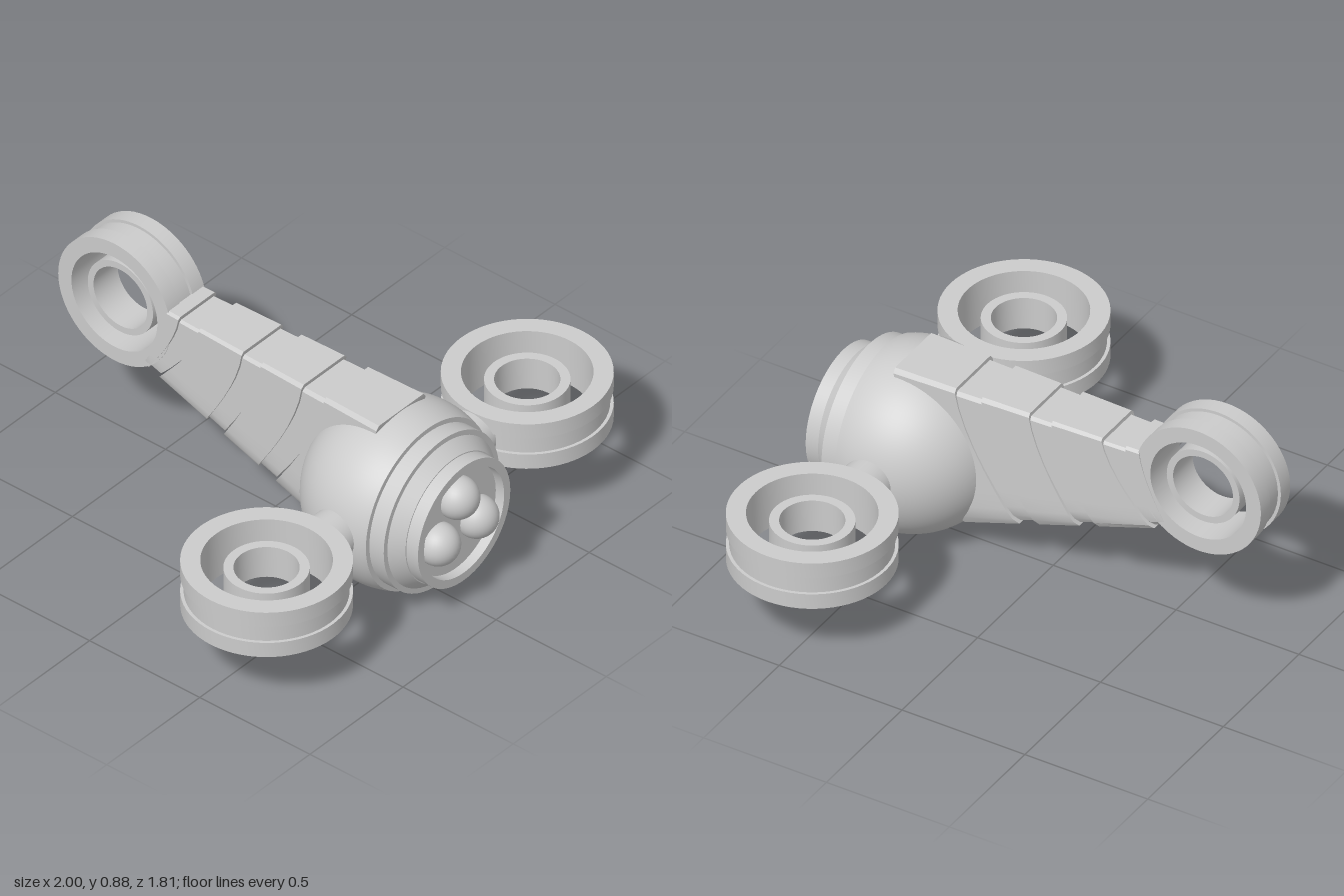
import * as THREE from 'three';
import { toCreasedNormals } from 'three/addons/utils/BufferGeometryUtils.js';

const material = new THREE.MeshStandardMaterial({ color: 0xcccccc });

function addMesh(parent, name, geometry) {
  const mesh = new THREE.Mesh(geometry, material);
  mesh.name = name;
  parent.add(mesh);
  return mesh;
}

function lathe(points, segments = 64) {
  const profile = points.map(([r, y]) => new THREE.Vector2(r, y));
  return toCreasedNormals(new THREE.LatheGeometry(profile, segments), 0.5);
}

// Grooved outer ring with a free inner ring, axis along y
function makeRotor(name, outer, bore, innerOuter, innerBore) {
  const rotor = new THREE.Group();
  rotor.name = name;
  const h = 0.097, g = 0.035, groove = outer - 0.012;
  addMesh(rotor, 'outerRing', lathe([
    [bore, -h], [outer, -h], [outer, -g], [groove, -g],
    [groove, g], [outer, g], [outer, h], [bore, h], [bore, -h],
  ]));
  const k = 0.065;
  addMesh(rotor, 'innerRing', lathe([
    [innerBore, -k], [innerOuter, -k], [innerOuter, k], [innerBore, k], [innerBore, -k],
  ]));
  return rotor;
}

// Tail section between two slanted seams, each given as [z at top, z at bottom]
const TAIL_PROFILE = [[0.9, 0], [1, 0.03], [1, 0.15], [1, 0.3], [1, 0.45], [1, 0.6], [1, 0.75], [1, 0.88], [0.95, 0.95], [0.8, 1]];

function tailSection(front, back, inset) {
  const n = TAIL_PROFILE.length;
  const positions = [];
  for (const [zTop, zBottom] of [front, back]) {
    const yTop = 0.71 - inset, yBottom = 0.237 - 0.33 * zBottom + inset;
    const side = TAIL_PROFILE.map(([s, v]) => {
      const z = zTop + (zBottom - zTop) * Math.pow(v, 1.5);
      const half = 0.101 + 0.03 * (z + 0.4) / 0.92 - inset * 0.4;
      return [half * s, yTop + (yBottom - yTop) * v, z];
    });
    for (const p of side) positions.push(...p);
    for (const [x, y, z] of [...side].reverse()) positions.push(-x, y, z);
  }
  const m = 2 * n, index = [];
  const quad = (a, b, c, d) => index.push(a, b, c, a, c, d);
  for (let i = 0; i < m; i++) {
    const j = (i + 1) % m;
    quad(i, j, m + j, m + i);
  }
  for (let i = 0; i < n - 1; i++) {
    const l = m - 1 - i;
    quad(i, l, l - 1, i + 1);
    quad(m + i, m + i + 1, m + l - 1, m + l);
  }
  const geometry = new THREE.BufferGeometry();
  geometry.setAttribute('position', new THREE.Float32BufferAttribute(positions, 3));
  geometry.setIndex(index);
  return toCreasedNormals(geometry, 0.45);
}

export function createModel() {
  const model = new THREE.Group();
  model.name = 'threeRotorCraft';

  // Round body with a stepped collar and recessed face, turned about z
  const R = 0.35, profile = [];
  const endAngle = Math.asin(0.12 / R);
  for (let i = 0; i <= 32; i++) {
    const a = -Math.PI / 2 + (endAngle + Math.PI / 2) * i / 32;
    profile.push([Math.max(0, R * Math.cos(a)), R * Math.sin(a)]);
  }
  profile.push([0.31, 0.12], [0.31, 0.185], [0.29, 0.185], [0.252, 0.235],
    [0.248, 0.235], [0.248, 0.288], [0.215, 0.288], [0.215, 0.25], [0, 0.25]);
  const body = addMesh(model, 'body', lathe(profile, 80).rotateX(Math.PI / 2));
  body.position.set(0, 0.355, 0.567);

  // Cluster of three eyes
  for (const [x, y] of [[0, 0.455], [-0.103, 0.312], [0.103, 0.312]]) {
    addMesh(model, 'eye', new THREE.SphereGeometry(0.08, 32, 20)).position.set(x, y, 0.825);
  }

  // Side rotors on short arms
  for (const side of [-1, 1]) {
    const name = side > 0 ? 'left' : 'right';
    const rotor = makeRotor(name + 'Rotor', 0.3, 0.23, 0.15, 0.115);
    rotor.position.set(side * 0.7, 0.358, 0.55);
    model.add(rotor);
    const arm = addMesh(model, name + 'Arm', new THREE.CylinderGeometry(0.093, 0.093, 0.12, 40));
    arm.rotation.z = Math.PI / 2;
    arm.position.set(side * 0.363, 0.358, 0.55);
  }

  // Tapering tail of alternating raised and sunken sections
  const seams = [[0.57, 0.3], [0.325, 0.08], [0.22, 0], [0.03, -0.16],
    [-0.06, -0.24], [-0.26, -0.46], [-0.355, -0.51], [-0.41, -0.53]];
  const tail = new THREE.Group();
  tail.name = 'tail';
  model.add(tail);
  for (let i = 0; i < seams.length - 1; i++) {
    addMesh(tail, i % 2 ? 'tailJoint' : 'tailPlate',
      tailSection(seams[i], seams[i + 1], i % 2 ? 0.014 : 0));
  }

  // Upright tail rotor
  const tailRotor = makeRotor('tailRotor', 0.255, 0.195, 0.148, 0.122);
  tailRotor.rotation.z = Math.PI / 2;
  tailRotor.position.set(0, 0.632, -0.65);
  model.add(tailRotor);

  return model;
}
